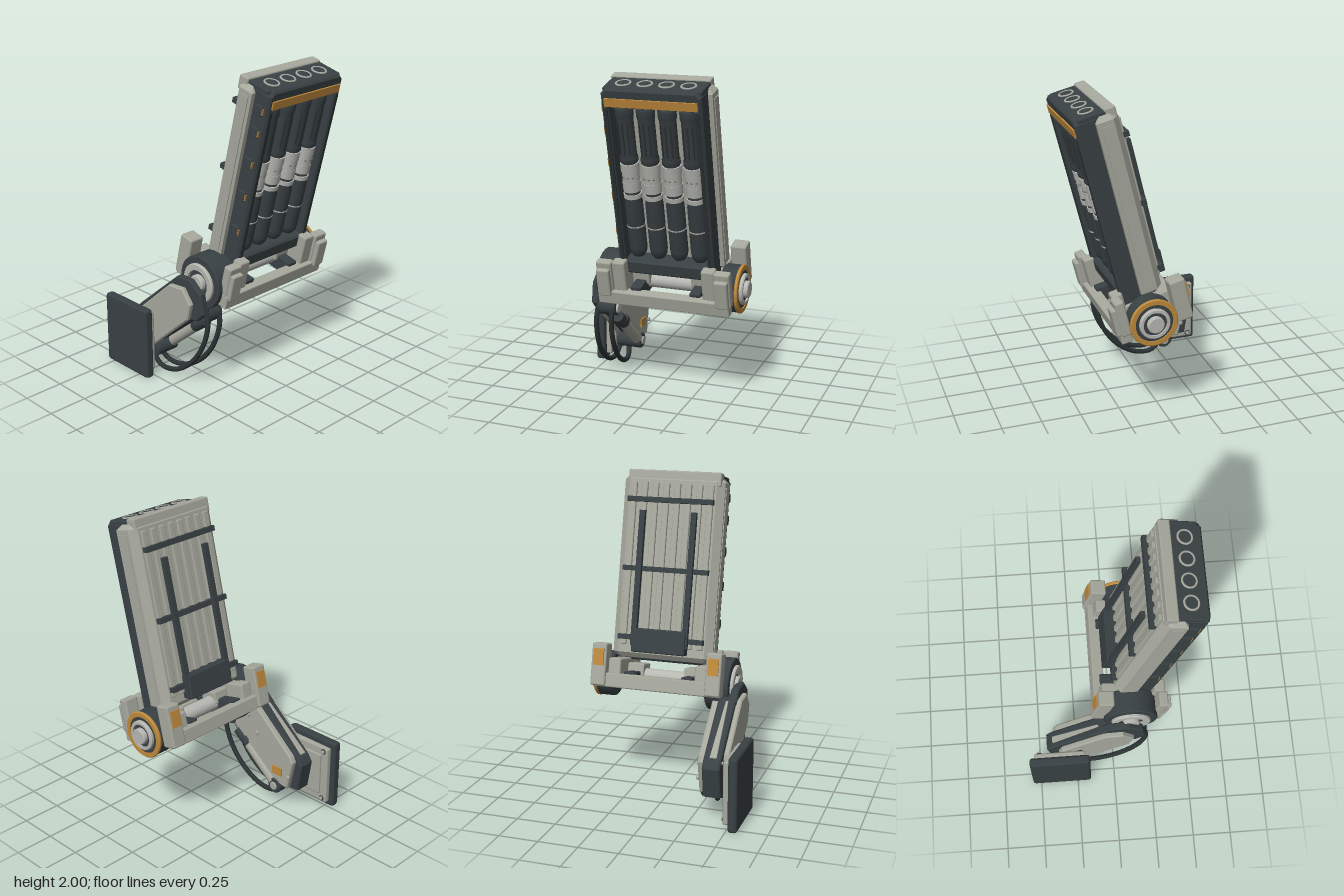
import * as THREE from 'three';
import { RoundedBoxGeometry } from 'three/addons/geometries/RoundedBoxGeometry.js';

const paint = (name, color) => {
  const m = new THREE.MeshStandardMaterial({ color });
  m.name = name;
  return m;
};

export function createModel() {
  const dark = paint('dark slate', 0x394144);
  const black = paint('rubber black', 0x2d3335);
  const light = paint('warm grey', 0xa7a89d);
  const silver = paint('pale grey', 0xb7b8b2);
  const steel = paint('steel grey', 0x7b7e79);
  const orange = paint('amber', 0xbf8a3c);

  const model = new THREE.Group();
  model.name = 'launcher';
  const tilted = new THREE.Group();
  tilted.name = 'tiltedAssembly';
  tilted.position.set(0, 0.7, 0.115);
  tilted.rotation.x = 0.24;
  model.add(tilted);

  const add = (parent, name, geo, mat, x = 0, y = 0, z = 0) => {
    const mesh = new THREE.Mesh(geo, mat);
    mesh.name = name;
    mesh.position.set(x, y, z);
    parent.add(mesh);
    return mesh;
  };
  // Box given by its limits, with optional chamfered edges
  const box = (parent, name, mat, x0, x1, y0, y1, z0, z1, r = 0) => {
    const s = [x1 - x0, y1 - y0, z1 - z0];
    const geo = r ? new RoundedBoxGeometry(...s, 1, r) : new THREE.BoxGeometry(...s);
    return add(parent, name, geo, mat, (x0 + x1) / 2, (y0 + y1) / 2, (z0 + z1) / 2);
  };
  // Disc or ring whose axis runs along x
  const disc = (parent, name, mat, x0, x1, r, y = 0, z = 0, inner = 0) => {
    const h = (x1 - x0) / 2, c = Math.min(0.006, h / 2);
    const pts = [[inner, -h], [r - c, -h], [r, -h + c], [r, h - c], [r - c, h], [inner, h]];
    if (inner) pts.push([inner, -h]);
    const geo = new THREE.LatheGeometry(pts.map(p => new THREE.Vector2(...p)), 40).toNonIndexed();
    geo.computeVertexNormals();
    geo.rotateZ(-Math.PI / 2);
    return add(parent, name, geo, mat, (x0 + x1) / 2, y, z);
  };
  const shapeOf = pts => new THREE.Shape(pts.map(p => new THREE.Vector2(...p)));
  const extrude = (shape, depth, b) => new THREE.ExtrudeGeometry(shape, {
    depth: depth - 2 * b, bevelEnabled: b > 0, bevelSize: b, bevelThickness: b, bevelOffset: -b, bevelSegments: 1,
  }).translate(0, 0, b);
  // Plate with a (z, y) outline, extruded along x
  const sidePlate = (name, mat, pts, x0, x1, b = 0.008) =>
    add(model, name, extrude(shapeOf(pts.map(([z, y]) => [-z, y])), x1 - x0, b).rotateY(Math.PI / 2), mat, x0);
  // Cylinder between two points
  const rod = (name, mat, a, b, r) => {
    const p = new THREE.Vector3(...a), q = new THREE.Vector3(...b), d = q.clone().sub(p);
    const mesh = add(model, name, new THREE.CylinderGeometry(r, r, d.length(), 20), mat);
    mesh.position.copy(p).add(q).multiplyScalar(0.5);
    mesh.quaternion.setFromUnitVectors(new THREE.Vector3(0, 1, 0), d.normalize());
  };

  // ---- Pod ----
  const pod = new THREE.Group();
  pod.name = 'pod';
  pod.position.x = 0.092;
  tilted.add(pod);

  // Rear shell with chamfered back corners
  const shell = shapeOf([[-0.33, -0.008], [0.33, -0.008], [0.33, 0.095], [0.285, 0.135], [-0.285, 0.135], [-0.33, 0.095]]);
  add(pod, 'rearShell', extrude(shell, 1.16, 0.03).rotateX(-Math.PI / 2), light, 0, 0.12, 0);
  box(pod, 'topCap', light, -0.31, 0.3, 1.22, 1.31, -0.13, -0.06, 0.01);
  for (const s of [-1, 1]) {
    box(pod, 'sidePanel', light, s * 0.33 - 0.005, s * 0.33 + 0.005, 0.18, 1.22, -0.08, -0.015);
  }
  for (let i = 0; i < 8; i++) {
    const x = -0.252 + i * 0.072;
    box(pod, 'backRib', light, x - 0.02, x + 0.02, 0.2, 1.23, -0.15, -0.12, 0.006);
  }
  // Rails across the back
  for (const y of [0.25, 0.685, 1.12]) box(pod, 'crossRail', dark, -0.28, 0.28, y - 0.016, y + 0.016, -0.175, -0.14);
  for (const x of [-0.168, 0.168]) box(pod, 'longRail', dark, x - 0.018, x + 0.018, 0.2, 1.05, -0.197, -0.17);
  box(pod, 'backBox', dark, -0.175, 0.175, 0.16, 0.31, -0.21, -0.13, 0.008);

  // Front frame with an opening for the tubes
  const frame = shapeOf([[-0.303, 0.1], [0.303, 0.1], [0.303, 1.27], [0.273, 1.3], [-0.273, 1.3], [-0.303, 1.27]]);
  frame.holes.push(new THREE.Path([[-0.262, 0.19], [-0.262, 1.185], [0.262, 1.185], [0.262, 0.19]].map(p => new THREE.Vector2(...p))));
  add(pod, 'frontFrame', extrude(frame, 0.137, 0.012), dark, 0, 0, -0.012);
  box(pod, 'muzzleBlock', dark, -0.3, 0.3, 1.2, 1.3, -0.07, 0.1, 0.01);
  box(pod, 'recessBack', black, -0.265, 0.265, 0.18, 1.19, -0.005, 0.008);
  box(pod, 'amberStripe', orange, -0.281, 0.281, 1.195, 1.245, 0.125, 0.134);
  for (const s of [-1, 1]) box(pod, 'frameRail', black, s * 0.278 - 0.01, s * 0.278 + 0.01, 0.2, 1.18, 0.12, 0.13);
  for (const y of [0.37, 0.61, 0.83, 1.03, 1.17]) {
    box(pod, 'sideClip', dark, -0.318, -0.295, y - 0.03, y + 0.03, 0.03, 0.09, 0.004);
    box(pod, 'clipMark', orange, -0.316, -0.303, y - 0.02, y + 0.02, 0.088, 0.095);
  }

  // Four tubes with pale sleeves and muzzle rings
  const tube = [[0, 0.195], [0.034, 0.2], [0.05, 0.225], [0.055, 0.26], [0.055, 0.56], [0.048, 0.6], [0.048, 0.82],
    [0.055, 0.83], [0.055, 0.86], [0.05, 0.87], [0.05, 1.1], [0.055, 1.12], [0.055, 1.16], [0.05, 1.185], [0, 1.185]];
  for (let i = 0; i < 4; i++) {
    const x = (i - 1.5) * 0.132, z = 0.052;
    add(pod, 'tube', new THREE.LatheGeometry(tube.map(p => new THREE.Vector2(...p)), 24), dark, x, 0, z);
    for (const [y0, y1, r] of [[0.595, 0.622, 0.055], [0.64, 0.7, 0.054], [0.7, 0.765, 0.052], [0.765, 0.82, 0.056], [0.405, 0.413, 0.0565]]) {
      add(pod, 'sleeve', new THREE.CylinderGeometry(r, r, y1 - y0, 24), silver, x, (y0 + y1) / 2, z);
    }
    for (const a of [-0.6, 0, 0.6]) {
      const s = Math.sin(a), c = Math.cos(a);
      add(pod, 'sleeveSlot', new THREE.BoxGeometry(0.014, 0.008, 0.006), steel, x + s * 0.052, 0.735, z + c * 0.052).rotation.y = a;
      add(pod, 'tubeFlute', new THREE.BoxGeometry(0.008, 0.2, 0.008), black, x + s * 0.05, 0.985, z + c * 0.05).rotation.y = a;
    }
    add(pod, 'muzzleRing', new THREE.TorusGeometry(0.042, 0.007, 8, 28).rotateX(Math.PI / 2), light, x, 1.3, 0.02);
    add(pod, 'muzzle', new THREE.CylinderGeometry(0.038, 0.038, 0.006, 28), dark, x, 1.3, 0.02);
  }

  // ---- Cradle ----
  const cradle = new THREE.Group();
  cradle.name = 'cradle';
  tilted.add(cradle);
  box(cradle, 'frontBeam', light, -0.34, 0.5, -0.08, 0.008, 0.145, 0.215, 0.008);
  box(cradle, 'rearBeam', light, -0.34, 0.5, -0.075, 0.015, -0.235, -0.16, 0.008);
  for (const x of [-0.29, 0.46]) {
    box(cradle, 'frontPost', light, x - 0.05, x + 0.05, -0.03, 0.2, 0.14, 0.2, 0.012);
    box(cradle, 'frontPostPad', light, x - 0.042, x + 0.042, -0.02, 0.16, 0.19, 0.23, 0.01);
    box(cradle, 'rearPost', light, x - 0.05, x + 0.05, -0.07, 0.2, -0.25, -0.15, 0.012);
    box(cradle, 'rearLamp', orange, x - 0.034, x + 0.034, 0.06, 0.165, -0.259, -0.25);
  }
  for (const x of [-0.2, 0.37]) {
    box(cradle, 'cheek', light, x - 0.042, x + 0.042, -0.03, 0.11, -0.2, 0.18, 0.012);
    box(cradle, 'cheekFront', light, x - 0.042, x + 0.042, 0, 0.2, 0.115, 0.185, 0.012);
  }
  for (const x of [-0.105, 0.275]) {
    box(cradle, 'gusset', dark, x - 0.035, x + 0.035, -0.07, 0.03, -0.19, 0.17, 0.008);
    box(cradle, 'axleHousing', light, x - 0.055, x + 0.055, 0.0, 0.08, -0.06, 0.07, 0.008);
  }
  disc(cradle, 'axle', silver, -0.3, 0.45, 0.05);

  // Drum with amber ring on one end
  disc(cradle, 'hingeDrum', dark, 0.415, 0.515, 0.146);
  disc(cradle, 'amberRing', orange, 0.512, 0.533, 0.15, 0, 0, 0.118);
  disc(cradle, 'drumFace', dark, 0.51, 0.528, 0.12);
  disc(cradle, 'hubRing', silver, 0.52, 0.55, 0.096, 0, 0, 0.074);
  disc(cradle, 'hubBase', dark, 0.52, 0.54, 0.076);
  disc(cradle, 'hub', silver, 0.53, 0.57, 0.052);

  // Larger drum that carries the arm
  disc(cradle, 'armDrum', dark, -0.37, -0.215, 0.17);
  disc(cradle, 'armDrumRing', silver, -0.39, -0.365, 0.125, 0, 0, 0.085);
  disc(cradle, 'armDrumHub', silver, -0.402, -0.36, 0.055);

  // ---- Arm ----
  sidePlate('armBody', dark, [[0.15, 0.57], [0.02, 0.68], [-0.085, 0.665], [-0.41, 0.385], [-0.44, 0.34], [-0.41, 0.15], [-0.29, 0.14], [0.1, 0.46]], -0.43, -0.32);
  sidePlate('armKnuckle', dark, [[0.21, 0.53], [0.19, 0.66], [0.1, 0.73], [-0.02, 0.72], [-0.1, 0.65], [0.05, 0.46], [0.15, 0.47]], -0.435, -0.385);
  sidePlate('armInnerPlate', light, [[0.1, 0.58], [-0.085, 0.65], [-0.375, 0.4], [-0.395, 0.36], [-0.35, 0.155], [-0.26, 0.17], [0.12, 0.47]], -0.325, -0.28);
  sidePlate('armOuterPlate', light, [[0.13, 0.58], [0.06, 0.67], [-0.06, 0.66], [-0.34, 0.41], [-0.36, 0.35], [-0.33, 0.14], [-0.26, 0.15], [0.1, 0.47]], -0.465, -0.428);
  // Tapered inlay on the arm's upper edge
  const inlay = shapeOf([[-0.022, -0.2], [0.022, -0.2], [0.008, 0.2], [-0.008, 0.2]]);
  add(model, 'armInlay', extrude(inlay, 0.02, 0.003), light, -0.38, 0.533, -0.251).rotation.x = 0.859;
  box(model, 'armMark', orange, -0.28, -0.272, 0.235, 0.29, -0.31, -0.23);
  for (const [z, y] of [[-0.09, 0.475], [-0.365, 0.25], [-0.01, 0.58]]) disc(model, 'armBolt', light, -0.285, -0.268, 0.014, y, z);

  // Piston under the arm
  const px = -0.303;
  rod('pistonSleeve', dark, [px, 0.42, 0.1], [px, 0.345, 0.0], 0.038);
  rod('pistonBarrel', light, [px, 0.385, 0.05], [px, 0.16, -0.22], 0.036);
  rod('pistonRod', steel, [px, 0.5, 0.16], [px, 0.14, -0.245], 0.022);
  rod('pistonCollar', dark, [px, 0.385, 0.035], [px, 0.36, 0.007], 0.043);
  disc(model, 'upperPivotBlock', dark, -0.39, -0.275, 0.06, 0.51, 0.16);
  disc(model, 'upperPivot', silver, -0.3, -0.262, 0.036, 0.5, 0.16);
  disc(model, 'lowerPivot', dark, -0.44, -0.272, 0.052, 0.14, -0.248);
  disc(model, 'lowerPivotCap', light, -0.28, -0.262, 0.028, 0.14, -0.248);

  // Two hoses looping below the arm
  const loop = [[0.19, 0.56], [0.215, 0.44], [0.17, 0.28], [0.07, 0.145], [-0.06, 0.06], [-0.17, 0.045], [-0.225, 0.075], [-0.25, 0.13]];
  for (const [x0, x1, bulge] of [[-0.29, -0.38, 0.01], [-0.385, -0.435, -0.015]]) {
    const path = new THREE.CatmullRomCurve3(loop.map(([z, y], i) => {
      const t = i / (loop.length - 1);
      return new THREE.Vector3(x0 + (x1 - x0) * t + bulge * Math.sin(t * Math.PI), y, z);
    }));
    add(model, 'hose', new THREE.TubeGeometry(path, 48, 0.016, 10), black);
  }

  // ---- Foot ----
  box(model, 'footPad', dark, -0.572, -0.512, 0, 0.472, -0.555, -0.16, 0.018);
  box(model, 'footPlate', light, -0.515, -0.475, 0.035, 0.437, -0.525, -0.19, 0.012);
  box(model, 'footStep', light, -0.485, -0.462, 0.09, 0.385, -0.475, -0.235, 0.008);
  for (const y of [0.062, 0.412]) {
    for (const z of [-0.49, -0.222]) {
      disc(model, 'footBoltWasher', dark, -0.48, -0.47, 0.018, y, z);
      disc(model, 'footBolt', light, -0.475, -0.46, 0.012, y, z);
    }
  }
  return model;
}
